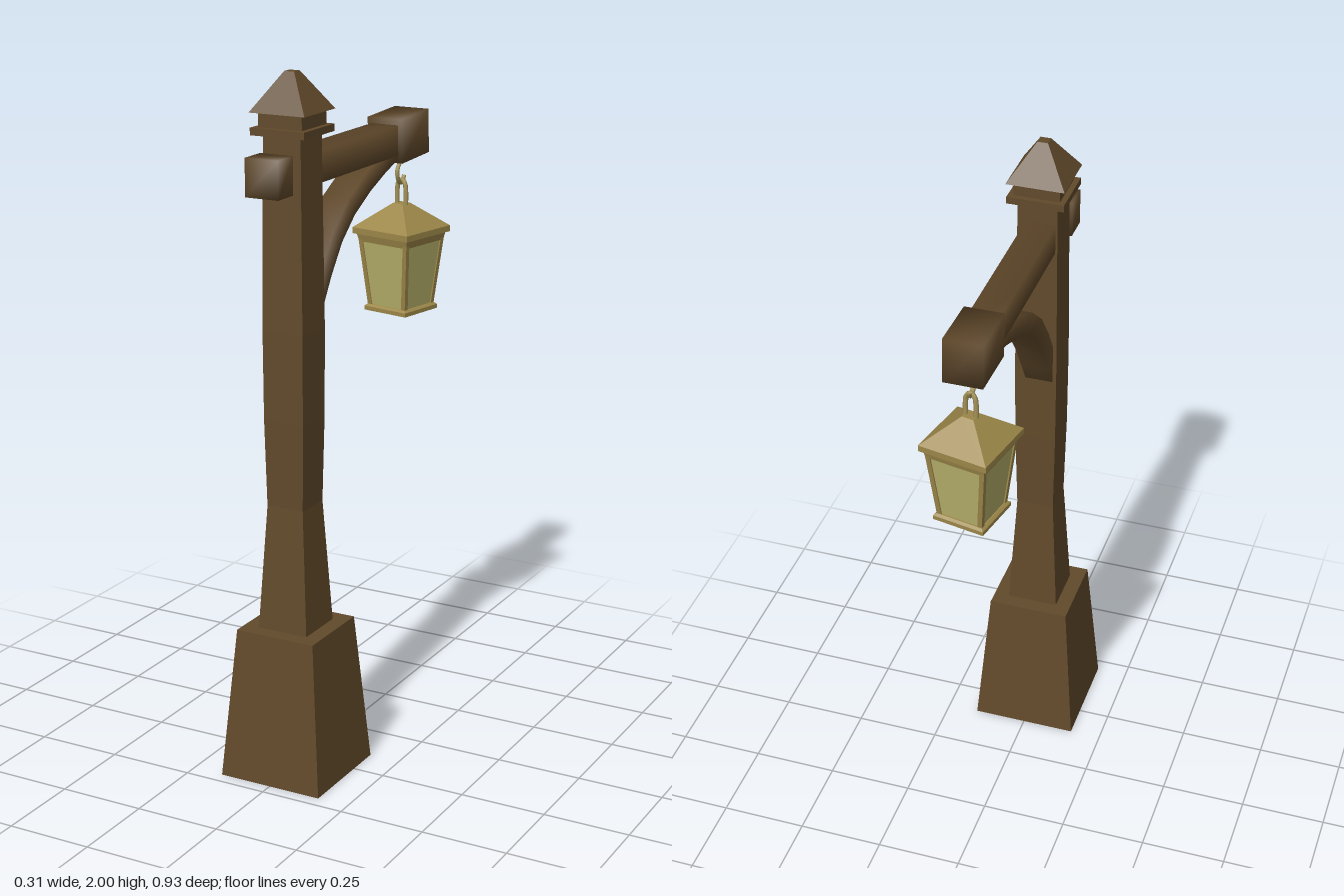
import * as THREE from 'three';
import { mergeVertices } from 'three/addons/utils/BufferGeometryUtils.js';

const paint = (color, opts = {}) => new THREE.MeshStandardMaterial({ color, ...opts });
const wood = paint(0x624a2b, { flatShading: true });
const softWood = paint(0x624a2b);
const brass = paint(0x9c8749, { flatShading: true });
const softBrass = paint(0xa8965a);
const glass = paint(0xb6b06a, { flatShading: true });

function add(parent, name, geometry, material, x = 0, y = 0, z = 0) {
  const mesh = new THREE.Mesh(geometry, material);
  mesh.name = name;
  mesh.position.set(x, y, z);
  parent.add(mesh);
  return mesh;
}

// Square-section solid from [half width, height] pairs, bottom to top
function squareProfile(pairs) {
  const full = [[0, pairs[0][1]], ...pairs, [0, pairs[pairs.length - 1][1]]];
  const points = full.map(([h, y]) => new THREE.Vector2(h * Math.SQRT2, y));
  return new THREE.LatheGeometry(points, 4, Math.PI / 4);
}

// Shares corners so that the shading runs softly across the edges
function soften(geometry) {
  geometry.deleteAttribute('uv');
  geometry.deleteAttribute('normal');
  const merged = mergeVertices(geometry, 1e-4);
  merged.computeVertexNormals();
  return merged;
}

const tube = (points, radius) => new THREE.TubeGeometry(
  new THREE.CatmullRomCurve3(points.map(p => new THREE.Vector3(...p))), 16, radius, 6);

function createLantern() {
  const lantern = new THREE.Group();
  lantern.name = 'lantern';
  add(lantern, 'lanternBase', squareProfile([[0.077, 1.21], [0.077, 1.222], [0.07, 1.228]]), brass);
  add(lantern, 'lanternGlass', squareProfile([[0.065, 1.222], [0.086, 1.43]]), glass);
  add(lantern, 'lanternRoof', squareProfile([
    [0.088, 1.418], [0.093, 1.44], [0.102, 1.442], [0.102, 1.46], [0.018, 1.53]]), brass);

  // Leaning corner bars
  for (const sx of [-1, 1]) for (const sz of [-1, 1]) {
    const bar = squareProfile([[0.007, 1.222], [0.007, 1.43]]);
    const pos = bar.attributes.position;
    for (let i = 0; i < pos.count; i++) {
      const lean = 0.062 + 0.021 * (pos.getY(i) - 1.222) / 0.208;
      pos.setX(i, pos.getX(i) + sx * lean);
      pos.setZ(i, pos.getZ(i) + sz * lean);
    }
    add(lantern, 'lanternCornerBar', bar, brass);
  }

  // Loop handle on the roof
  add(lantern, 'lanternHandle', tube([
    [-0.016, 1.52, 0], [-0.016, 1.565, 0], [-0.012, 1.59, 0], [0, 1.6, 0],
    [0.012, 1.59, 0], [0.016, 1.565, 0], [0.016, 1.52, 0]], 0.007), softBrass);
  lantern.position.set(-0.005, 0, -0.345);
  lantern.rotation.y = -0.197;
  return lantern;
}

export function createModel() {
  const model = new THREE.Group();
  model.name = 'lampPost';

  // Upright post on its foot
  const z = 0.305;
  add(model, 'foot', squareProfile([[0.157, 0], [0.121, 0.44]]), wood, 0, 0, z);
  add(model, 'post', squareProfile([
    [0.077, 0.43], [0.056, 0.8], [0.061, 1.05], [0.062, 1.3], [0.057, 1.84]]), wood, 0, 0, z);
  add(model, 'collar', squareProfile([[0.082, 1.835], [0.082, 1.855]]), wood, 0, 0, z);
  add(model, 'neck', squareProfile([[0.066, 1.85], [0.066, 1.9]]), wood, 0, 0, z);
  add(model, 'cap', squareProfile([[0.084, 1.895], [0.015, 2]]), wood, 0, 0, z);

  // Cross beam with thicker ends
  add(model, 'beam', soften(new THREE.BoxGeometry(0.085, 0.088, 0.72, 1, 1, 4)), softWood, -0.01, 1.732, 0.05);
  add(model, 'beamStub', soften(new THREE.BoxGeometry(0.1, 0.105, 0.08)), softWood, -0.016, 1.733, 0.402);
  add(model, 'beamTip', soften(new THREE.BoxGeometry(0.11, 0.128, 0.172)), softWood, -0.01, 1.733, -0.333)
    .rotation.x = 0.04;

  // Curved brace under the beam
  const path = new THREE.CatmullRomCurve3([
    [0.285, 1.25], [0.22, 1.36], [0.15, 1.47], [0.065, 1.565], [-0.1, 1.657], [-0.27, 1.715],
  ].map(([pz, py]) => new THREE.Vector3(0, py, pz)));
  // Orient the section so its wide side lies along x
  const acrossX = Math.abs(path.computeFrenetFrames(7).normals[0].x) > 0.5;
  const [a, b] = acrossX ? [0.041, 0.031] : [0.031, 0.041];
  const section = new THREE.Shape([[-a, -b], [a, -b], [a, b], [-a, b]].map(p => new THREE.Vector2(...p)));
  add(model, 'brace', soften(new THREE.ExtrudeGeometry(section, { steps: 7, extrudePath: path })), softWood, -0.01);

  // Hook holding the lantern
  add(model, 'hook', tube([
    [0, 1.68, -0.337], [0, 1.655, -0.335], [0, 1.635, -0.318], [0, 1.612, -0.318],
    [0, 1.592, -0.335], [0, 1.595, -0.352], [0, 1.61, -0.36]], 0.007), softBrass, -0.005);
  model.add(createLantern());
  return model;
}
